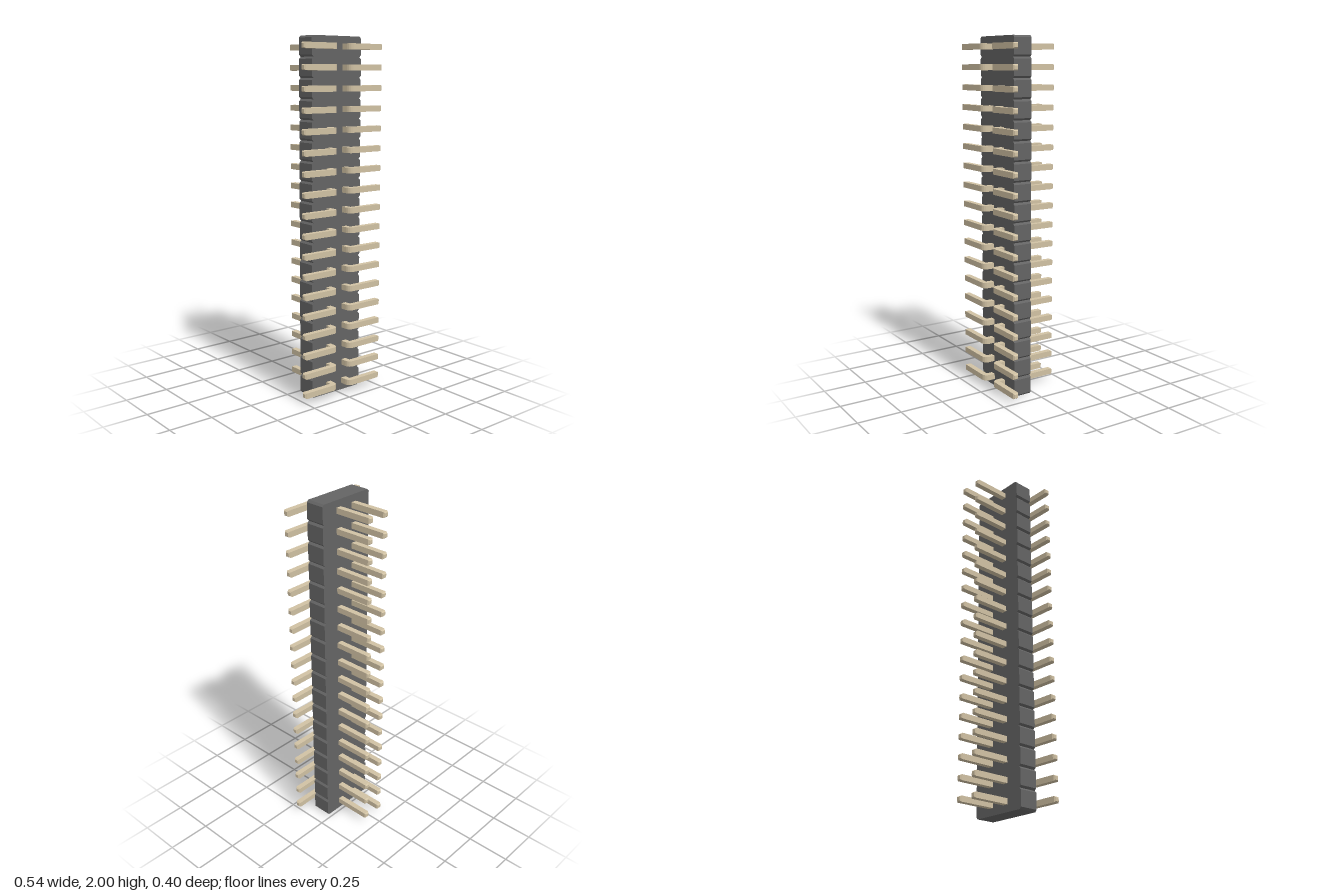
import * as THREE from 'three';
import { mergeGeometries, toCreasedNormals } from 'three/addons/utils/BufferGeometryUtils.js';

const ROWS = 18, PITCH = 2 / ROWS;
const PIN = 0.032, TIP = 0.008;           // pin thickness, length of tapered tip
const IN_X = 0.04, OUT_X = 0.272;         // pin inner edge and tail end
const BACK_Z = -0.199, FRONT_Z = 0.199;

// Tapered square tip pointing up +y
function tipGeometry() {
  return new THREE.CylinderGeometry(0.01 * Math.SQRT2, (PIN / 2) * Math.SQRT2, TIP, 4)
    .rotateY(Math.PI / 4).toNonIndexed();
}

// L-shaped pin: straight post to the back, bent outwards to +x at the front
function pinGeometry() {
  const bx = IN_X + PIN, bz = FRONT_Z - PIN;
  const s = new THREE.Shape();
  s.moveTo(IN_X, BACK_Z + TIP);
  s.lineTo(bx, BACK_Z + TIP);
  s.lineTo(bx, bz);
  s.lineTo(OUT_X - TIP, bz);
  s.lineTo(OUT_X - TIP, FRONT_Z);
  s.lineTo(bx, FRONT_Z);
  s.absarc(bx, bz, PIN, Math.PI / 2, Math.PI, false);
  s.closePath();
  const bar = new THREE.ExtrudeGeometry(s, { depth: PIN, bevelEnabled: false, curveSegments: 8 })
    .translate(0, 0, -PIN / 2).rotateX(Math.PI / 2);
  const tail = tipGeometry().rotateZ(-Math.PI / 2)
    .translate(OUT_X - TIP / 2, 0, FRONT_Z - PIN / 2);
  const post = tipGeometry().rotateX(-Math.PI / 2)
    .translate(IN_X + PIN / 2, 0, BACK_Z + TIP / 2);
  return toCreasedNormals(mergeGeometries([bar, tail, post]), 0.5);
}

// Housing outline with a chamfered notch between neighbouring rows
function housingGeometry() {
  const w = 0.172, c = 0.011;
  const right = [];
  for (let i = 0; i < ROWS; i++) {
    const y0 = i * PITCH, y1 = y0 + PITCH;
    if (i === 0) right.push([w - c, y0]);
    right.push([w, y0 + c], [w, y1 - c], [w - c, y1]);
  }
  const left = right.map(([x, y]) => [-x, y]).reverse();
  const shape = new THREE.Shape([...right, ...left].map(([x, y]) => new THREE.Vector2(x, y)));
  return new THREE.ExtrudeGeometry(shape, { depth: 0.11, bevelEnabled: false }).translate(0, 0, 0.022);
}

export function createModel() {
  const group = new THREE.Group();
  group.name = 'pinHeader';

  const plastic = new THREE.MeshStandardMaterial({ color: 0x646464 });
  const metal = new THREE.MeshStandardMaterial({ color: 0xd0c1a3 });

  const housing = new THREE.Mesh(housingGeometry(), plastic);
  housing.name = 'housing';
  group.add(housing);

  // Two columns of pins; the right one is the left one turned half round
  const pin = pinGeometry();
  for (const side of ['left', 'right']) {
    const column = new THREE.Group();
    column.name = side + 'Pins';
    for (let i = 0; i < ROWS; i++) {
      const mesh = new THREE.Mesh(pin, metal);
      mesh.name = side + 'Pin' + (i + 1);
      mesh.position.y = (i + 0.5) * PITCH;
      if (side === 'right') mesh.rotation.z = Math.PI;
      column.add(mesh);
    }
    group.add(column);
  }
  return group;
}
